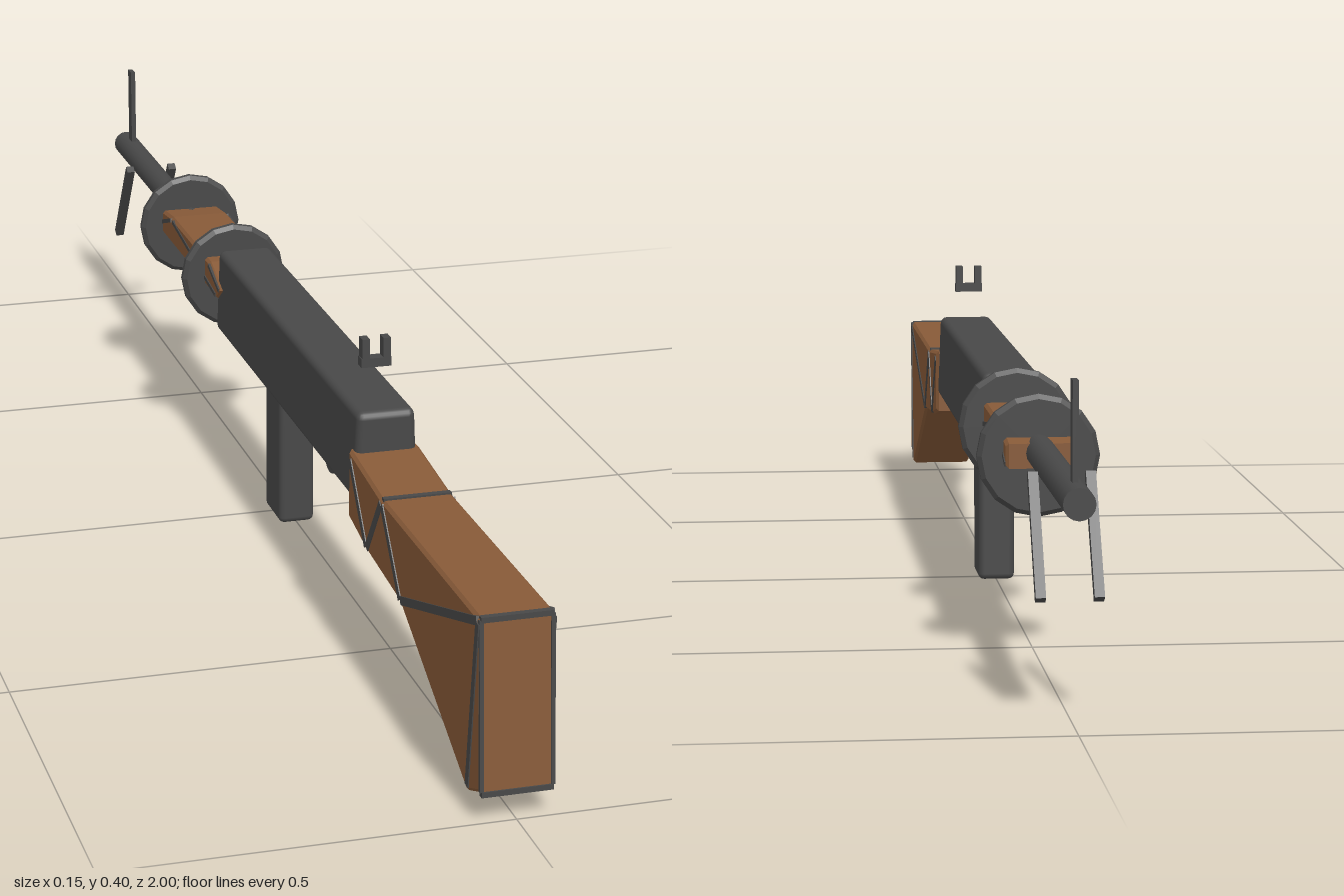
import * as THREE from 'three';
import { RoundedBoxGeometry } from 'three/addons/geometries/RoundedBoxGeometry.js';

const wood = new THREE.MeshStandardMaterial({ color: 0x875a38 });
wood.name = 'brownWood';
const steel = new THREE.MeshStandardMaterial({ color: 0x484848 });
steel.name = 'darkSteel';

export function createModel() {
  const root = new THREE.Group();
  root.name = 'rifle';

  const add = (name, geometry, material, x = 0, y = 0, z = 0, parent = root) => {
    const mesh = new THREE.Mesh(geometry, material);
    mesh.name = name;
    mesh.position.set(x, y, z);
    parent.add(mesh);
    return mesh;
  };

  // Side profile of [z, y] points, extruded across x with a small chamfer
  const profile = (points, width, bevel) => {
    const shape = new THREE.Shape(points.map(([z, y]) => new THREE.Vector2(z, y)));
    const depth = width - 2 * bevel;
    const geometry = new THREE.ExtrudeGeometry(shape, {
      depth, bevelThickness: bevel, bevelSize: bevel, bevelOffset: -bevel, bevelSegments: 1,
    });
    geometry.translate(0, 0, -depth / 2);
    geometry.rotateY(-Math.PI / 2);
    return geometry;
  };

  // Thin bar between two [z, y] points at a given x
  const bar = (name, a, b, x, width, thickness, parent) => {
    const dz = b[0] - a[0], dy = b[1] - a[1];
    const geometry = new THREE.BoxGeometry(thickness, width, Math.hypot(dz, dy));
    const mesh = add(name, geometry, steel, x, (a[1] + b[1]) / 2, (a[0] + b[0]) / 2, parent);
    mesh.rotation.x = -Math.atan2(dy, dz);
    return mesh;
  };

  // Shoulder stock
  const heelTop = [0.985, 0.253], heelBottom = [1.0, 0.04], toe = [0.952, 0.02];
  const belly = [0.685, 0.147], comb = [0.605, 0.251], grip = [0.54, 0.158];
  const neckTop = [0.46, 0.265], neckBottom = [0.46, 0.173];
  add('stock', profile([heelTop, comb, neckTop, neckBottom, grip, belly, toe, heelBottom], 0.092, 0.004), wood);

  // Wooden fore-end
  add('handguard', profile([
    [-0.2, 0.265], [-0.225, 0.245], [-0.605, 0.245], [-0.605, 0.276], [-0.5, 0.288], [-0.27, 0.288],
  ], 0.088, 0.004), wood);

  // Steel inlay lines on both sides of the wood
  const inlays = new THREE.Group();
  inlays.name = 'inlayLines';
  root.add(inlays);
  const stockLines = [
    [[0.98, 0.248], [0.69, 0.152]], [[0.982, 0.246], [0.955, 0.028]],
    [[0.685, 0.152], [0.607, 0.245]], [[0.602, 0.245], [0.545, 0.164]],
    [[0.54, 0.164], [0.468, 0.254]],
  ];
  const guardLines = [
    [[-0.23, 0.25], [-0.49, 0.283]], [[-0.5, 0.283], [-0.6, 0.25]], [[-0.21, 0.263], [-0.27, 0.283]],
  ];
  for (const side of [-1, 1]) {
    for (const [a, b] of stockLines) bar('stockInlay', a, b, side * 0.0455, 0.011, 0.004, inlays);
    for (const [a, b] of guardLines) bar('handguardInlay', a, b, side * 0.0435, 0.006, 0.004, inlays);
    bar('heelEdge', [0.985, 0.25], [0.999, 0.04], side * 0.0435, 0.005, 0.005, inlays);
  }
  // Lines running across the stock
  for (const [z, y] of [[0.984, 0.251], [0.604, 0.25], [0.998, 0.037]]) {
    add('crossInlay', new THREE.BoxGeometry(0.088, 0.007, 0.008), steel, 0, y, z, inlays);
  }

  // Receiver: box with the top drawn in slightly
  const receiver = new RoundedBoxGeometry(0.086, 0.12, 0.71, 2, 0.01);
  const pos = receiver.attributes.position;
  for (let i = 0; i < pos.count; i++) {
    if (pos.getY(i) > 0) pos.setX(i, pos.getX(i) * 0.9);
  }
  add('receiver', receiver, steel, 0, 0.257, 0.12);

  // Magazine and trigger
  add('magazine', new RoundedBoxGeometry(0.05, 0.21, 0.08, 2, 0.008), steel, 0, 0.105, 0.013);
  add('trigger', new THREE.CylinderGeometry(0.029, 0.029, 0.03, 16).rotateZ(Math.PI / 2), steel, 0, 0.187, 0.267);

  // Barrel
  add('barrel', new THREE.CylinderGeometry(0.019, 0.019, 0.78, 16).rotateX(Math.PI / 2), steel, 0, 0.264, -0.61);

  // Chamfered discs around the fore-end
  const rim = [[0, -0.009], [0.071, -0.009], [0.077, -0.004], [0.077, 0.004], [0.071, 0.009], [0, 0.009]]
    .map(([r, h]) => new THREE.Vector2(r, h));
  for (const z of [-0.302, -0.565]) {
    const disc = new THREE.LatheGeometry(rim, 16).toNonIndexed();
    disc.computeVertexNormals();
    add('collarDisc', disc.rotateX(Math.PI / 2), steel, 0, 0.256, z);
  }

  // Front sight post
  add('frontSight', new THREE.BoxGeometry(0.007, 0.13, 0.02), steel, 0, 0.334, -0.95);

  // Rear sight: notched bracket
  const rearSight = new THREE.Group();
  rearSight.name = 'rearSight';
  root.add(rearSight);
  add('sightBase', new THREE.BoxGeometry(0.04, 0.012, 0.016), steel, 0, 0.367, 0.42, rearSight);
  for (const side of [-1, 1]) {
    add('sightProng', new THREE.BoxGeometry(0.01, 0.03, 0.016), steel, side * 0.014, 0.384, 0.42, rearSight);
  }

  // Folding bipod legs
  for (const side of [-1, 1]) {
    bar('bipodLeg', [-0.82, 0.272], [-0.91, 0.139], side * 0.034, 0.012, 0.012, root);
  }

  return root;
}
